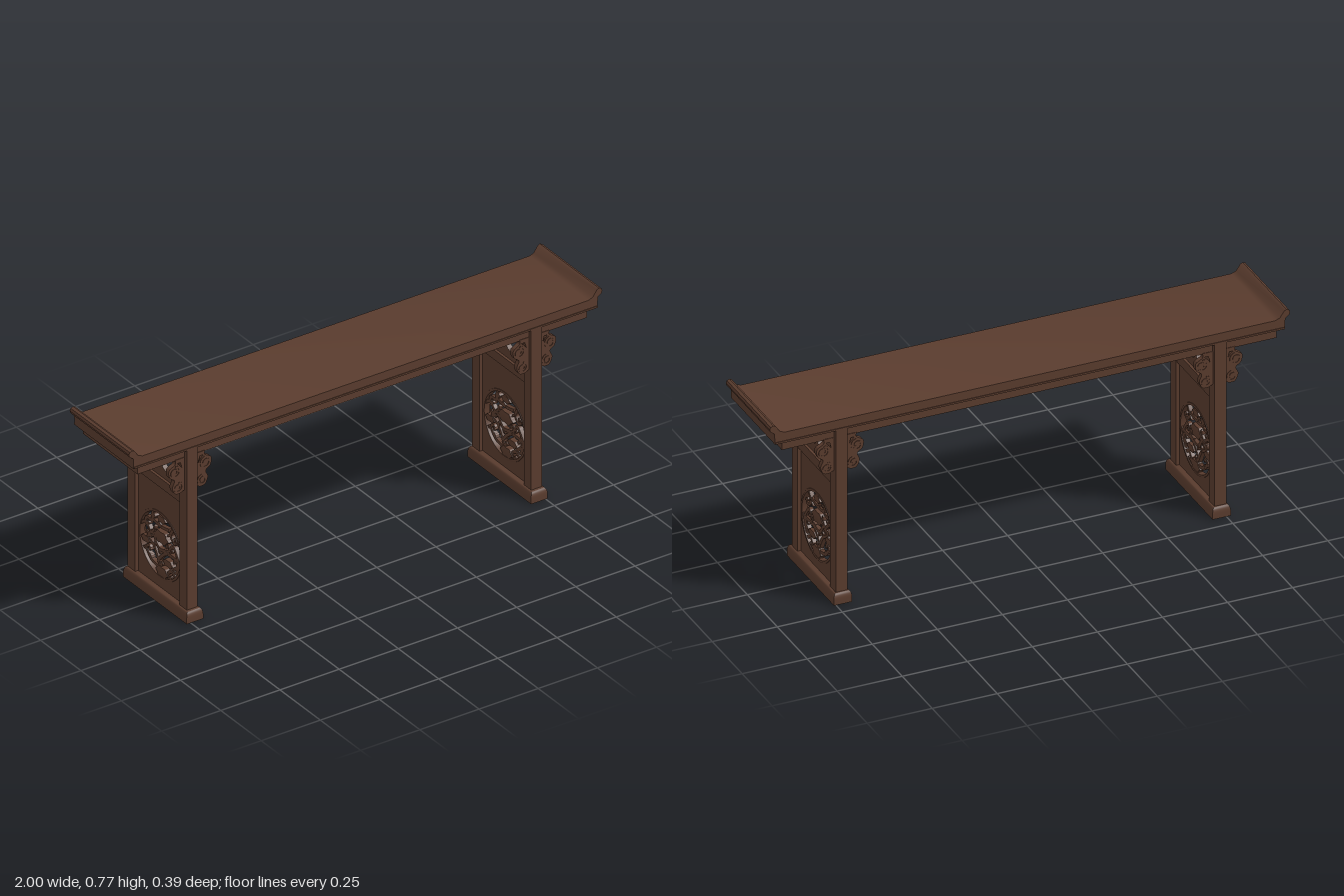
import * as THREE from 'three';
import { toCreasedNormals } from 'three/addons/utils/BufferGeometryUtils.js';

const wood = new THREE.MeshStandardMaterial({ color: 0x5a3c2e });
wood.name = 'dark wood';

const V = (x, y) => new THREE.Vector2(x, y);
const ZC = -0.003; // depth centre of the legs and top

function add(parent, name, geo, x = 0, y = 0, z = 0) {
  const mesh = new THREE.Mesh(geo, wood);
  mesh.name = name;
  mesh.position.set(x, y, z);
  parent.add(mesh);
}
const box = (parent, name, w, h, d, x, y, z) =>
  add(parent, name, new THREE.BoxGeometry(w, h, d), x, y, z);

// extrude a shape, centred on its thickness
function slab(shape, depth, bevel = 0) {
  const geo = new THREE.ExtrudeGeometry(shape, {
    depth: depth - 2 * bevel, curveSegments: 24, bevelEnabled: bevel > 0,
    bevelThickness: bevel, bevelSize: bevel, bevelOffset: -bevel, bevelSegments: 2,
  });
  geo.translate(0, 0, -depth / 2 + bevel);
  return toCreasedNormals(geo, 0.6);
}
// turn a shape so that its x runs towards -z and its thickness along x
const sideways = (shape, depth, bevel) => slab(shape, depth, bevel).rotateY(Math.PI / 2);

const rect = (x0, y0, x1, y1) => new THREE.Shape([V(x0, y0), V(x1, y0), V(x1, y1), V(x0, y1)]);

// tapering strip that follows a curve
function strip(curve, n, w0, w1) {
  const left = [], right = [];
  for (let i = 0; i <= n; i++) {
    const t = i / n, p = curve.getPoint(t), d = curve.getTangent(t);
    const w = (w0 + (w1 - w0) * t) / 2;
    left.push(V(p.x - d.y * w, p.y + d.x * w));
    right.unshift(V(p.x + d.y * w, p.y - d.x * w));
  }
  return new THREE.Shape([...left, ...right]);
}

// shrinking spiral points around a centre
function spiral(cx, cy, r, start, sweep, n) {
  return Array.from({ length: n }, (_, i) => {
    const t = (i + 1) / n, a = start + sweep * t, k = r * (1 - 0.65 * t);
    return V(cx + Math.cos(a) * k, cy + Math.sin(a) * k);
  });
}

// lobed outline for blossoms and leaves
function blossom(x, y, rx, ry, tilt) {
  const pts = [];
  for (let i = 0; i < 36; i++) {
    const a = i / 36 * Math.PI * 2, r = 1 + 0.11 * Math.cos(6 * a);
    pts.push(V(Math.cos(a) * rx * r, Math.sin(a) * ry * r).rotateAround(V(0, 0), tilt).add(V(x, y)));
  }
  return new THREE.Shape(pts);
}

// Stems in hundredths of the opening's radius: start, middle, end, curl side
const stems = [
  [-97, -14, -30, -14, 8, -46, -1], [-72, -58, -86, -20, -66, 16, -1],
  [-40, 64, 0, 58, 36, 62, 1], [36, 20, 10, -14, -34, -6, -1],
  [40, 90, 40, 60, 66, 56, -1], [8, -62, 32, -20, 58, -6, 1],
  [10, -74, 46, -66, 66, -46, 1], [96, 26, 74, 38, 54, 22, 1],
  [-60, 78, -46, 54, -56, 38, -1], [-30, -42, -58, -48, -76, -34, -1],
  [72, -14, 52, 10, 34, 30, 1], [-68, -70, -50, -60, -36, -70, -1],
];
// Blossoms: x, y, half width, half height
const blossoms = [[-2, 25, 33, 19], [-4, 82, 20, 11], [72, -14, 21, 11], [-35, -42, 23, 11], [-6, -82, 28, 16]];

function medallion() {
  const g = new THREE.Group(), R = 0.00129;
  g.name = 'carvedMedallion';
  const ring = new THREE.Shape().absarc(0, 0, 0.135, 0, Math.PI * 2);
  ring.holes.push(new THREE.Path().absarc(0, 0, 0.125, 0, Math.PI * 2));
  add(g, 'medallionRing', sideways(ring, 0.024, 0.002));
  for (const [x0, y0, x1, y1, x2, y2, side] of stems) {
    const pts = [V(x0 * R, y0 * R), V(x1 * R, y1 * R), V(x2 * R, y2 * R)];
    const heading = Math.atan2(y2 - y1, x2 - x1), r = 0.016;
    const toCentre = heading + side * Math.PI / 2;
    const curl = spiral(pts[2].x + Math.cos(toCentre) * r, pts[2].y + Math.sin(toCentre) * r,
      r, toCentre + Math.PI, side * 4, 6);
    const curve = new THREE.SplineCurve([...pts, ...curl]);
    add(g, 'vineStem', sideways(strip(curve, 45, 0.013, 0.009), 0.016));
    const tip = curl[5];
    add(g, 'vineBud', sideways(new THREE.Shape().absarc(tip.x, tip.y, 0.007, 0, Math.PI * 2), 0.018));
    // leaves beside the stem
    for (const [t, turn] of [[0.12, 0.7], [0.26, -0.8]]) {
      const p = curve.getPoint(t), d = curve.getTangent(t), a = Math.atan2(d.y, d.x) + turn;
      add(g, 'leaf', sideways(blossom(p.x + Math.cos(a) * 0.011, p.y + Math.sin(a) * 0.011, 0.012, 0.005, a), 0.017));
    }
  }
  for (const b of blossoms)
    add(g, 'blossom', sideways(blossom(...b.map((v) => v * R), 0), 0.022, 0.003));
  return g;
}

// Scrolled bracket under the apron, growing away from the leg towards s
function bracket(s) {
  const g = new THREE.Group();
  g.name = 'scrollBracket';
  const p = (x, y) => V(s * x, y);
  const edge = new THREE.SplineCurve([p(0.04, 0.66), p(0.04, 0.643), p(0.066, 0.625),
    p(0.063, 0.595), p(0.043, 0.577), p(0.052, 0.55), p(0.04, 0.523), p(0.018, 0.52)]);
  const shape = new THREE.Shape([p(-0.002, 0.53), p(-0.002, 0.66), ...edge.getPoints(50)]);
  shape.holes.push(new THREE.Path([p(0.011, 0.62), p(0.018, 0.644), p(0.032, 0.644), p(0.021, 0.634)]));
  add(g, 'bracketBody', slab(shape, 0.018));
  // raised spirals
  for (const [cx, cy, r] of [[0.042, 0.611, 0.024], [0.028, 0.545, 0.021]]) {
    const pts = spiral(cx, cy, r, 1.2, 9, 18).map((v) => p(v.x, v.y));
    add(g, 'bracketSpiral', slab(strip(new THREE.SplineCurve(pts), 60, 0.007, 0.004), 0.022));
  }
  return g;
}

// Foot with a rounded shoulder
function footGeometry() {
  const geo = new THREE.BoxGeometry(1, 1, 1, 1, 6, 1);
  const pos = geo.attributes.position;
  for (let i = 0; i < pos.count; i++) {
    const row = Math.round((pos.getY(i) + 0.5) * 6);
    const a = Math.max(row - 1, 0) / 5 * Math.PI / 2; // angle round the shoulder
    const inset = 0.011 * (1 - Math.cos(a));
    const y = row === 0 ? 0 : 0.02 + 0.025 * Math.sin(a);
    pos.setXYZ(i, Math.sign(pos.getX(i)) * (0.035 - inset), y, Math.sign(pos.getZ(i)) * (0.197 - inset));
  }
  return toCreasedNormals(geo, 0.6);
}

function legFrame(name, x) {
  const g = new THREE.Group();
  g.name = name;
  g.position.x = x;
  add(g, 'foot', footGeometry());
  for (const s of [1, -1]) {
    box(g, 'legPost', 0.046, 0.655, 0.046, 0, 0.3675, ZC + s * 0.16);
    for (const out of [1, -1]) {
      const b = bracket(out);
      b.position.set(out * 0.023, 0, ZC + s * 0.161);
      g.add(b);
    }
  }
  // rails between the posts
  box(g, 'topRail', 0.034, 0.07, 0.276, 0, 0.66, ZC);
  box(g, 'middleRail', 0.04, 0.038, 0.276, 0, 0.478, ZC);
  // upper panel with a cloud-shaped opening: distance from centre, rise, drop
  const cloud = [[0, 0.032, 0.002], [0.018, 0.018, 0.024], [0.041, 0.028, 0.033], [0.063, 0.031, 0.033],
    [0.081, 0.022, 0.026], [0.091, 0.01, 0.012], [0.104, 0.006, 0.008]];
  const rise = cloud.map(([a, up]) => V(a, 0.56 + up));
  const drop = cloud.map(([a, , down]) => V(a, 0.56 - down)).reverse();
  const right = [...rise, ...drop];
  const left = right.slice(1, -1).reverse().map((v) => V(-v.x, v.y));
  const upper = rect(-0.138, 0.495, 0.138, 0.63);
  upper.holes.push(new THREE.Path([...right, ...left]));
  add(g, 'upperPanel', sideways(upper, 0.02), 0, 0, ZC);
  // lower panel with a round opening
  const lower = rect(-0.138, 0.04, 0.138, 0.461);
  lower.holes.push(new THREE.Path().absarc(0, 0.2145, 0.13, 0, Math.PI * 2));
  add(g, 'lowerPanel', sideways(lower, 0.02), 0, 0, ZC);
  const m = medallion();
  m.position.set(0, 0.2145, ZC);
  g.add(m);
  return g;
}

export function createModel() {
  const model = new THREE.Group();
  model.name = 'altarTable';

  // top with upturned ends
  const end = [V(0.98, 0.694), V(0.981, 0.735), V(0.997, 0.747), V(1, 0.757), V(0.996, 0.766),
    V(0.986, 0.77), V(0.977, 0.766), V(0.96, 0.742), V(0.942, 0.735)];
  const profile = [...end, ...end.slice().reverse().map((v) => V(-v.x, v.y))];
  add(model, 'tableTop', slab(new THREE.Shape(profile), 0.367), 0, 0, ZC);
  // thin bead along the lower edge
  for (const s of [1, -1])
    box(model, 'topBead', 1.958, 0.007, 0.006, 0, 0.6975, ZC + s * 0.183);

  // aprons on all four sides
  for (const s of [1, -1]) {
    box(model, 'longApron', 1.9, 0.04, 0.018, -0.004, 0.676, ZC + s * 0.159);
    box(model, 'endApron', 0.018, 0.04, 0.33, -0.004 + s * 0.941, 0.676, ZC);
  }

  model.add(legFrame('leftLegFrame', 0.723), legFrame('rightLegFrame', -0.732));
  return model;
}
